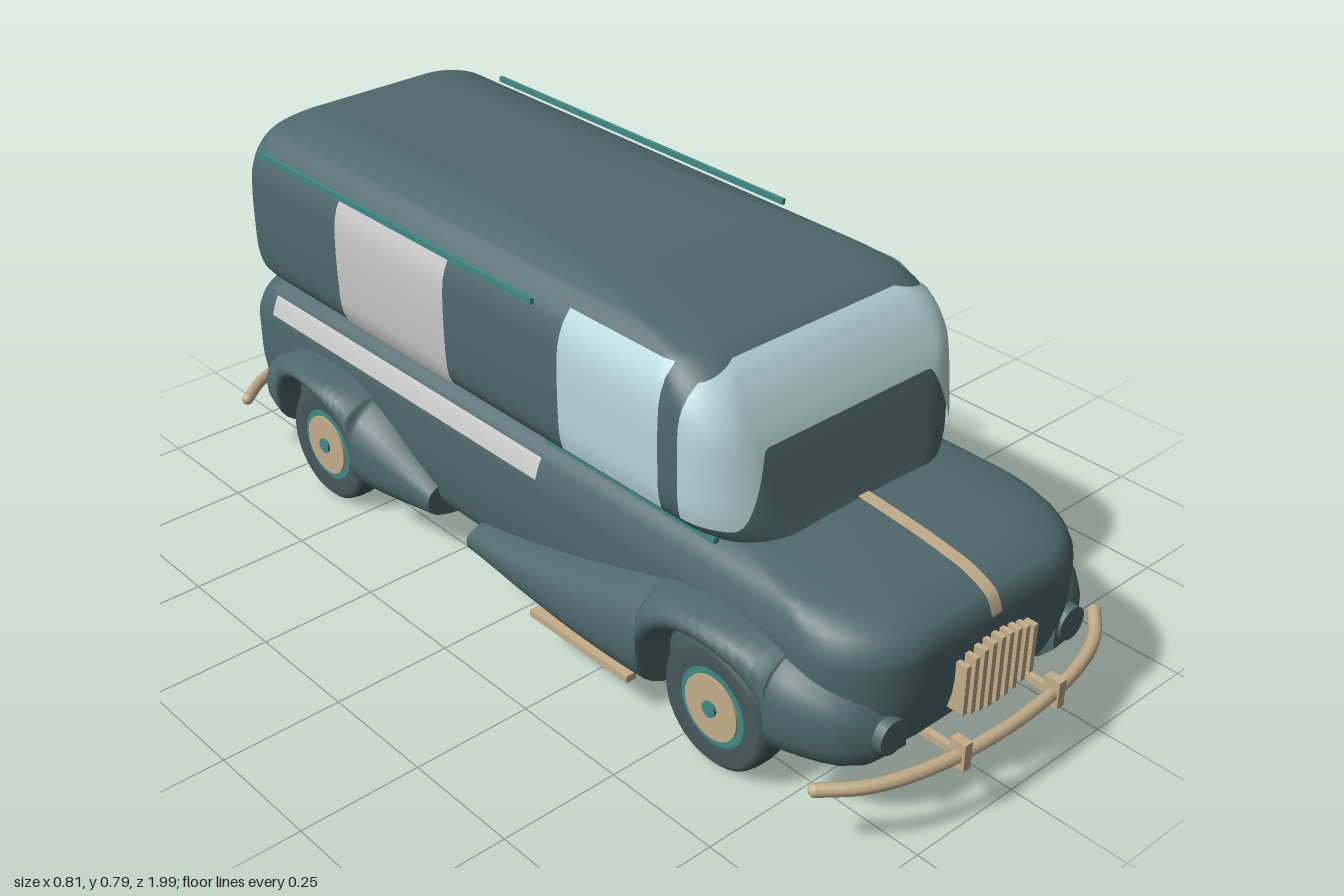
import * as THREE from 'three';

const mat = (name, color, side = THREE.FrontSide) =>
  Object.assign(new THREE.MeshStandardMaterial({ color, side }), { name });

// Monotone cubic interpolation of column k in rows keyed by column 0
function sample(rows, k, t) {
  const n = rows.length - 1;
  const slope = i => (rows[i + 1][k] - rows[i][k]) / (rows[i + 1][0] - rows[i][0]);
  const tangent = i => {
    if (i === 0) return slope(0);
    if (i === n) return slope(n - 1);
    const a = slope(i - 1), b = slope(i);
    return a * b <= 0 ? 0 : 2 * a * b / (a + b);
  };
  let i = 0;
  while (i < n - 1 && t > rows[i + 1][0]) i++;
  const h = rows[i + 1][0] - rows[i][0];
  const u = THREE.MathUtils.clamp((t - rows[i][0]) / h, 0, 1), v = 1 - u;
  return rows[i][k] * (1 + 2 * u) * v * v + tangent(i) * h * u * v * v
    + rows[i + 1][k] * u * u * (3 - 2 * u) - tangent(i + 1) * h * u * u * v;
}

function buffer(pos, idx) {
  const g = new THREE.BufferGeometry();
  g.setAttribute('position', new THREE.Float32BufferAttribute(pos, 3));
  g.setIndex(idx);
  g.computeVertexNormals();
  return g;
}

// Skin closed rings and cap both ends
function loft(rings) {
  const n = rings[0].length, pos = rings.flat(2), idx = [];
  for (let j = 0; j < rings.length - 1; j++)
    for (let i = 0; i < n; i++) {
      const a = j * n + i, b = j * n + (i + 1) % n;
      idx.push(a, b, b + n, a, b + n, a + n);
    }
  [rings[0], rings[rings.length - 1]].forEach((ring, end) => {
    const base = pos.length / 3;
    pos.push(...ring.flat());
    pos.push(...[0, 1, 2].map(k => ring.reduce((s, p) => s + p[k], 0) / n));
    for (let i = 0; i < n; i++) {
      const a = base + i, b = base + (i + 1) % n;
      end ? idx.push(base + n, a, b) : idx.push(base + n, b, a);
    }
  });
  return buffer(pos, idx);
}

// Open sheet from f(u, v), u and v in 0..1
function sheet(nu, nv, f) {
  const pos = [], idx = [];
  for (let j = 0; j <= nv; j++) for (let i = 0; i <= nu; i++) pos.push(...f(i / nu, j / nv));
  for (let j = 0; j < nv; j++)
    for (let i = 0; i < nu; i++) {
      const a = j * (nu + 1) + i, c = a + nu + 1;
      idx.push(a, a + 1, c + 1, a, c + 1, c);
    }
  return buffer(pos, idx);
}

// Body shell: rounded-rectangle plans [y, half width, front z, back z]
function hull(rows, frontRadius, rb) {
  const at = y => {
    const [w, zf, zb] = [1, 2, 3].map(k => sample(rows, k, y));
    return { w, zf, zb, rf: frontRadius(zf) };
  };
  const sideX = (y, z) => {
    const { w, zf, rf } = at(y), d = Math.max(0, z - zf + rf);
    return w - rf + Math.sqrt(Math.max(0, rf * rf - d * d));
  };
  const ring = y => {
    const { w, zf, zb, rf } = at(y), half = [];
    for (let i = 1; i <= 4; i++) half.push([(w - rf) * i / 5, y, zf]);
    for (let i = 0; i <= 8; i++) {
      const t = i / 8 * Math.PI / 2;
      half.push([w - rf + rf * Math.sin(t), y, zf - rf + rf * Math.cos(t)]);
    }
    for (let i = 1; i < 8; i++) half.push([w, y, THREE.MathUtils.lerp(zf - rf, zb + rb, i / 8)]);
    for (let i = 0; i <= 6; i++) {
      const t = i / 6 * Math.PI / 2;
      half.push([w - rb + rb * Math.cos(t), y, zb + rb - rb * Math.sin(t)]);
    }
    const other = half.map(([x, yy, z]) => [-x, yy, z]).reverse();
    return [[0, y, zf], ...half, [0, y, zb], ...other];
  };
  const ys = rows.flatMap((r, i) => i === rows.length - 1 ? [r[0]]
    : [0, 1, 2].map(k => r[0] + (rows[i + 1][0] - r[0]) * k / 3));
  // Thin plate lying on the shell's side
  const plate = (s, z0, z1, y0, y1) => sheet(12, 12, (u, v) => {
    const z = THREE.MathUtils.lerp(z0, z1, s > 0 ? u : 1 - u), y = THREE.MathUtils.lerp(y0, y1, v);
    return [s * (sideX(y, z) + 0.006), y, z];
  });
  return { at, plate, geometry: () => loft(ys.map(ring)) };
}

// Fender from rows [z, top, bottom, outer x], cut by a wheel arch
function fender(rows, zc, s) {
  const R = 0.15, cy = 0.13, z0 = rows[0][0], z1 = rows[rows.length - 1][0], zs = [];
  for (let i = 0; i <= 36; i++) zs.push(z0 + (z1 - z0) * i / 36);
  for (let i = 0; i <= 20; i++) zs.push(zc + R * 1.0001 * Math.cos(i / 20 * Math.PI));
  zs.sort((a, b) => a - b);
  const pw = v => Math.sign(v) * Math.abs(v) ** 0.75;
  return loft(zs.map(z => {
    const [top, low, out] = [1, 2, 3].map(k => sample(rows, k, z)), dz = z - zc, ring = [];
    const bottom = Math.abs(dz) < R ? Math.max(low, cy + Math.sqrt(R * R - dz * dz)) : low;
    for (let i = 0; i <= 16; i++) {
      const t = (i / 16 - 0.5) * Math.PI;
      ring.push([s * (0.2 + (out - 0.2) * pw(Math.cos(t))), (top + bottom) / 2 + (top - bottom) / 2 * pw(Math.sin(t)), z]);
    }
    return s > 0 ? ring : ring.reverse();
  }));
}

export function createModel() {
  const van = new THREE.Group();
  const paint = mat('bodyPaint', 0x4f696c), glass = mat('glass', 0xb9d8da, THREE.DoubleSide);
  const trim = mat('beigeTrim', 0xc4ae8b, THREE.DoubleSide), teal = mat('tealAccent', 0x3f8a86);
  const panel = mat('greyPanel', 0xc9c9c9, THREE.DoubleSide), rubber = mat('tyreRubber', 0x46595b);
  const add = (name, geo, m, x = 0, y = 0, z = 0) => {
    const mesh = new THREE.Mesh(geo, m);
    mesh.name = name;
    mesh.position.set(x, y, z);
    van.add(mesh);
    return mesh;
  };
  const box = (name, m, w, h, d, x, y, z) => add(name, new THREE.BoxGeometry(w, h, d), m, x, y, z);

  // Shells
  const lower = hull([
    [0.105, 0.22, 0.8, -0.86], [0.12, 0.29, 0.87, -0.89], [0.16, 0.315, 0.905, -0.915],
    [0.25, 0.325, 0.925, -0.922], [0.33, 0.325, 0.925, -0.922], [0.37, 0.315, 0.912, -0.915],
    [0.4, 0.3, 0.86, -0.9], [0.42, 0.27, 0.75, -0.88], [0.435, 0.22, 0.6, -0.82]], () => 0.16, 0.06);
  const upper = hull([
    [0.415, 0.27, 0.622, -0.87], [0.43, 0.295, 0.615, -0.89], [0.46, 0.312, 0.605, -0.91],
    [0.5, 0.318, 0.594, -0.912], [0.6, 0.32, 0.565, -0.91], [0.66, 0.318, 0.535, -0.908],
    [0.7, 0.308, 0.507, -0.905], [0.735, 0.285, 0.47, -0.9], [0.755, 0.262, 0.4, -0.89],
    [0.765, 0.24, 0.3, -0.88], [0.775, 0.21, 0.15, -0.865], [0.782, 0.18, -0.1, -0.84],
    [0.786, 0.14, -0.3, -0.75]], zf => THREE.MathUtils.clamp(zf - 0.47, 0.08, 0.14), 0.06);
  add('lowerBody', lower.geometry(), paint);
  add('upperBody', upper.geometry(), paint);

  // Wraparound windscreen
  add('windscreen', sheet(80, 14, (u, v) => {
    const q = u * 2 - 1, a = Math.abs(q), s = Math.sign(q);
    const y = THREE.MathUtils.lerp(0.6 - 0.145 * THREE.MathUtils.smoothstep(a, 0.55, 0.82),
      0.735 - 0.02 * THREE.MathUtils.smoothstep(a, 0.6, 1), v);
    const { w, zf, rf } = upper.at(y);
    const end = Math.acos(THREE.MathUtils.clamp((0.47 - zf + rf) / rf, 0, 1));
    const t = Math.max(0, (a - 0.6) / 0.4) * end, r = rf + 0.006;
    return [s * (Math.min(1, a / 0.6) * (w - rf) + r * Math.sin(t)), y, zf - rf + r * Math.cos(t)];
  }), glass);

  // Bonnet strip following the nose
  add('bonnetStrip', sheet(1, 24, (u, v) => {
    const y = 0.34 + 0.095 * v;
    return [(u - 0.5) * 0.028, y + 0.004, lower.at(y).zf + 0.005];
  }), trim);

  // Grille bars
  for (let i = -4; i <= 4; i++)
    box('grilleBar', trim, 0.011, 0.138 - 0.0022 * i * i, 0.035, i * 0.0225, 0.238, 0.932);

  const frontRows = [
    [-0.11, 0.165, 0.09, 0.355], [0.1, 0.222, 0.078, 0.378], [0.3, 0.283, 0.07, 0.396],
    [0.45, 0.33, 0.075, 0.403], [0.6, 0.348, 0.09, 0.4], [0.75, 0.33, 0.1, 0.378],
    [0.84, 0.3, 0.112, 0.345], [0.89, 0.265, 0.13, 0.305], [0.915, 0.22, 0.16, 0.25]];
  const rearRows = [
    [-0.89, 0.19, 0.14, 0.29], [-0.86, 0.235, 0.11, 0.335], [-0.78, 0.295, 0.1, 0.37],
    [-0.65, 0.328, 0.09, 0.397], [-0.55, 0.33, 0.085, 0.405], [-0.42, 0.295, 0.076, 0.39],
    [-0.32, 0.235, 0.085, 0.365], [-0.25, 0.19, 0.095, 0.345]];
  const tyre = new THREE.LatheGeometry([[0.08, -0.035], [0.115, -0.04], [0.127, -0.03], [0.13, -0.012],
    [0.13, 0.012], [0.127, 0.03], [0.115, 0.04], [0.08, 0.035]].map(p => new THREE.Vector2(...p)), 40)
    .rotateZ(Math.PI / 2);
  const disc = (r, d) => new THREE.CylinderGeometry(r, r, d, 32).rotateZ(Math.PI / 2);

  for (const s of [1, -1]) {
    // Side glass and panels
    add('sideWindow', upper.plate(s, 0.15, 0.42, 0.45, 0.735), glass);
    add('sidePanel', upper.plate(s, -0.55, -0.19, 0.437, 0.718), panel);
    add('sideStripe', lower.plate(s, -0.82, 0.08, 0.353, 0.395), panel);
    // Mouldings
    box('roofRail', teal, 0.008, 0.012, 0.9, s * 0.322, 0.731, -0.37);
    box('waistMoulding', teal, 0.012, 0.012, 0.46, s * 0.285, 0.424, 0.3);
    // Fenders, headlamps and steps
    add('frontFender', fender(frontRows, 0.595, s), paint);
    add('rearFender', fender(rearRows, -0.605, s), paint);
    const lamp = add('headlamp', new THREE.CylinderGeometry(0.034, 0.036, 0.06, 20), paint, s * 0.241, 0.202, 0.892);
    lamp.rotation.x = Math.PI / 2;
    box('runningBoard', trim, 0.024, 0.015, 0.28, s * 0.364, 0.087, 0.255);
    // Wheels
    for (const z of [0.595, -0.605]) {
      add('tyre', tyre, rubber, s * 0.315, 0.13, z);
      add('wheelRim', disc(0.088, 0.07), teal, s * 0.315, 0.13, z);
      add('hubcap', disc(0.066, 0.08), trim, s * 0.315, 0.13, z);
      add('hubCentre', disc(0.016, 0.092), teal, s * 0.315, 0.13, z);
    }
    // Rear doors and handles
    box('rearDoor', paint, 0.212, 0.585, 0.03, s * 0.109, 0.425, -0.915);
    box('doorHandle', trim, 0.012, 0.055, 0.016, s * 0.036, 0.44, -0.937);
    // Bumpers
    const path = new THREE.CatmullRomCurve3([[-0.38, 0.875], [-0.31, 0.927], [-0.2, 0.965], [0, 0.985],
      [0.2, 0.965], [0.31, 0.927], [0.38, 0.875]].map(([x, z]) => new THREE.Vector3(x, 0.138, s * z)));
    add('bumper', new THREE.TubeGeometry(path, 40, 0.013, 10), trim);
    for (const e of [-0.38, 0.38])
      add('bumperEnd', new THREE.SphereGeometry(0.013, 12, 8), trim, e, 0.138, s * 0.875);
    for (const x of [-0.128, 0.128]) {
      box('overrider', trim, 0.019, 0.057, 0.034, x, 0.142, s * 0.977);
      box('bumperBracket', trim, 0.014, 0.014, 0.1, x, 0.14, s * 0.92);
    }
  }
  box('doorStrip', trim, 0.009, 0.57, 0.01, 0, 0.42, -0.931);
  return van;
}
